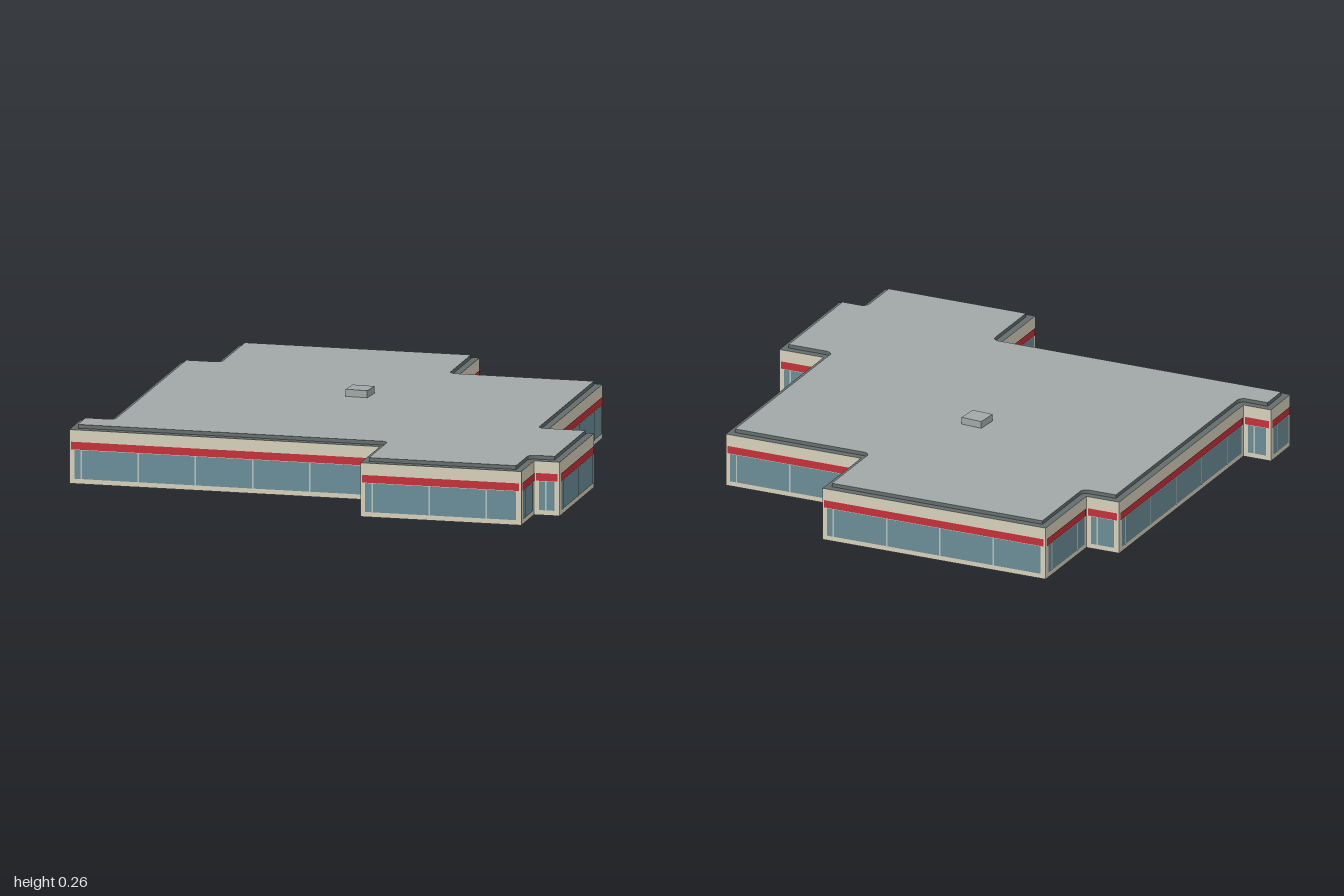
import * as THREE from 'three';

const mat = (color, side = THREE.FrontSide) => new THREE.MeshStandardMaterial({ color, side });

// Footprint corners (x, z), counter-clockwise from above, so each wall runs left to right seen from outside
const FOOTPRINT = [
  [-0.984, 0.762], [0.251, 0.67], [0.274, 0.971], [0.914, 0.922], [0.898, 0.722], [1.0, 0.714],
  [0.957, 0.177], [0.768, 0.192], [0.7, -0.682], [0.123, -0.638], [0.096, -0.98], [-0.856, -0.906],
  [-0.828, -0.543], [-0.968, -0.532], [-0.882, 0.577], [-1.0, 0.586],
].map(([x, z]) => new THREE.Vector2(x, z));

const WALL_TOP = 0.213;
const ROOF_TOP = 0.229;
const BAY = 0.228;

// Outward unit normal of the wall from a to b
const normalOf = (a, b) => new THREE.Vector2(a.y - b.y, b.x - a.x).normalize();

// Footprint moved inwards, with rounded re-entrant corners
function insetOutline(points, t) {
  const out = [];
  points.forEach((p, i) => {
    const prev = points[(i + points.length - 1) % points.length];
    const next = points[(i + 1) % points.length];
    const n1 = normalOf(prev, p), n2 = normalOf(p, next);
    const convex = n1.y * n2.x - n1.x * n2.y > 0;
    if (convex) {
      const m = n1.clone().add(n2);
      out.push(p.clone().addScaledVector(m, -2 * t / m.lengthSq()));
    } else {
      for (let k = 0; k <= 5; k++) {
        out.push(p.clone().addScaledVector(n1.clone().lerp(n2, k / 5).normalize(), -t));
      }
    }
  });
  return out;
}

const toShape = (points) => new THREE.Shape(points.map((p) => new THREE.Vector2(p.x, -p.y)));

export function createModel() {
  const model = new THREE.Group();
  model.name = 'lowBuilding';
  const cream = mat(0xd6cfba, THREE.DoubleSide);
  const glass = mat(0x6a8d97);
  const red = mat(0xc4303a);
  const frame = mat(0xb9c2c0);
  const dark = mat(0x646d6d, THREE.DoubleSide);
  const grey = mat(0xa2a8a7);

  // Flat rectangle on a wall, from x0 to x1 and y0 to y1, standing out by z
  const panel = (group, name, material, x0, x1, y0, y1, z) => {
    const mesh = new THREE.Mesh(new THREE.PlaneGeometry(x1 - x0, y1 - y0), material);
    mesh.position.set((x0 + x1) / 2, (y0 + y1) / 2, z);
    mesh.name = name;
    group.add(mesh);
  };

  // Walls, each with a window strip, mullions and a red band
  FOOTPRINT.forEach((a, i) => {
    const b = FOOTPRINT[(i + 1) % FOOTPRINT.length];
    const length = a.distanceTo(b);
    const wall = new THREE.Group();
    wall.name = 'wall';
    wall.position.set(a.x, 0, a.y);
    wall.rotation.y = Math.atan2(a.y - b.y, b.x - a.x);
    panel(wall, 'wallPanel', cream, 0, length, 0, WALL_TOP, 0);
    panel(wall, 'windowStrip', glass, 0.02, length - 0.02, 0.02, 0.134, 0.002);
    panel(wall, 'redBand', red, 0.008, length - 0.008, 0.136, 0.166, 0.003);
    for (let x = 0.048; x < length - 0.025; x += BAY) {
      panel(wall, 'mullion', frame, x - 0.003, x + 0.003, 0.02, 0.134, 0.004);
    }
    model.add(wall);
  });

  // Dark ledge on top of the walls
  const ledge = new THREE.Mesh(new THREE.ShapeGeometry(toShape(FOOTPRINT)).rotateX(-Math.PI / 2), dark);
  ledge.position.y = WALL_TOP;
  ledge.name = 'roofLedge';
  model.add(ledge);

  // Raised roof deck, set in from the walls
  const deckGeometry = new THREE.ExtrudeGeometry(toShape(insetOutline(FOOTPRINT, 0.027)), {
    depth: ROOF_TOP - WALL_TOP - 0.001, bevelEnabled: false,
  }).rotateX(-Math.PI / 2);
  const deck = new THREE.Mesh(deckGeometry, [grey, dark]);
  deck.position.y = WALL_TOP + 0.001;
  deck.name = 'roofDeck';
  model.add(deck);

  // Small rooftop unit
  const unit = new THREE.Mesh(new THREE.BoxGeometry(0.088, 0.028, 0.088), grey);
  unit.position.set(-0.101, ROOF_TOP + 0.014, -0.128);
  unit.name = 'rooftopUnit';
  model.add(unit);

  return model;
}
